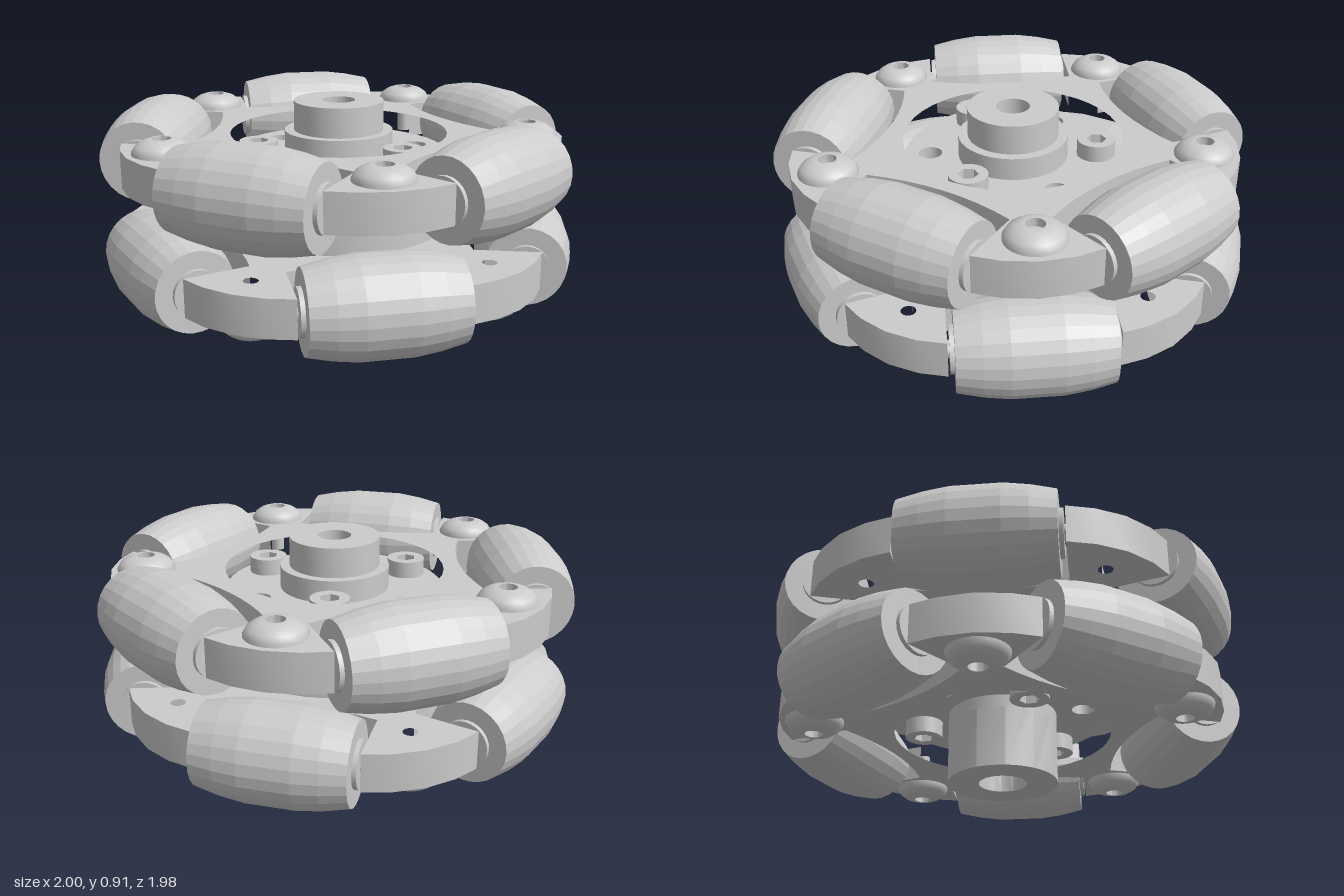
import * as THREE from 'three';
import { toCreasedNormals } from 'three/addons/utils/BufferGeometryUtils.js';

const STEP = Math.PI * 2 / 5;
const grey = new THREE.MeshStandardMaterial({ color: 0xcccccc });
const faceted = new THREE.MeshStandardMaterial({ color: 0xcccccc, flatShading: true });
const V = (x, y) => new THREE.Vector2(x, y);

function add(parent, name, geometry, material = grey) {
  const mesh = new THREE.Mesh(geometry, material);
  mesh.name = name;
  parent.add(mesh);
  return mesh;
}

const circle = (x, y, r) => new THREE.Path().absarc(x, y, r, 0, Math.PI * 2, true);

// Regular polygon hole (sockets)
function hexagon(r) {
  const pts = [];
  for (let i = 0; i < 6; i++) pts.push(V(r * Math.sin(i * Math.PI / 3), r * Math.cos(i * Math.PI / 3)));
  return new THREE.Path(pts);
}

// Upright prism of a plan drawn in x, z between two heights
function prism(shape, y0, y1, curveSegments = 20) {
  const g = new THREE.ExtrudeGeometry(shape, { depth: y1 - y0, bevelEnabled: false, curveSegments });
  return toCreasedNormals(g.rotateX(Math.PI / 2).translate(0, y1, 0), 0.6);
}

const lathe = (pts, n = 40) =>
  toCreasedNormals(new THREE.LatheGeometry(pts.map(p => V(...p)), n), 0.6);

// Five-armed plan with a pocket for each roller
function framePlan() {
  const pts = [];
  for (let k = 0; k < 5; k++) {
    const a = k * STEP, s = Math.sin(a), c = Math.cos(a);
    const put = (t, r) => pts.push(V(r * s + t * c, r * c - t * s));
    put(-0.325, 0.85);
    for (let i = -4; i <= 4; i++) put(0.325 * i / 4, 0.53 + 0.05 * (i / 4) ** 2);
    put(0.325, 0.85);
    for (const [d, r] of [[-0.14, 0.928], [0, 0.936], [0.14, 0.928]]) {
      const b = a + STEP / 2 + d;
      pts.push(V(r * Math.sin(b), r * Math.cos(b)));
    }
  }
  const shape = new THREE.Shape(pts);
  shape.holes.push(circle(0, 0, 0.46));
  for (let k = 0; k < 5; k++) {
    const a = (k + 0.5) * STEP;
    shape.holes.push(circle(0.79 * Math.sin(a), 0.79 * Math.cos(a), 0.03));
  }
  return shape;
}

// One ring of rollers in its frame, centred on the roller axes
function rollerLayer(name) {
  const layer = new THREE.Group();
  layer.name = name;
  add(layer, 'frame', prism(framePlan(), -0.075, 0.082));

  const barrel = new THREE.LatheGeometry([
    [0.03, -0.3], [0.165, -0.3], [0.187, -0.2], [0.2, -0.1],
    [0.2, 0.1], [0.187, 0.2], [0.165, 0.3], [0.03, 0.3],
  ].map(p => V(...p)), 26).rotateZ(Math.PI / 2);
  const washer = new THREE.CylinderGeometry(0.095, 0.095, 0.018, 24).rotateZ(Math.PI / 2);
  const axle = new THREE.CylinderGeometry(0.035, 0.035, 0.7, 16).rotateZ(Math.PI / 2);
  const screw = lathe([[0, -0.005], [0.12, -0.005], [0.12, 0.008], [0.105, 0.033], [0.08, 0.05],
    [0.05, 0.06], [0.037, 0.06], [0.037, 0.025], [0, 0.025]], 28);

  for (let k = 0; k < 5; k++) {
    const station = new THREE.Group();
    station.name = 'rollerStation';
    station.rotation.y = k * STEP;
    layer.add(station);
    add(station, 'roller', barrel, faceted).position.z = 0.79;
    add(station, 'axle', axle).position.z = 0.79;
    for (const side of [-1, 1]) add(station, 'washer', washer).position.set(side * 0.309, 0, 0.79);
    const a = STEP / 2;
    add(station, 'buttonScrew', screw).position.set(0.79 * Math.sin(a), 0.082, 0.79 * Math.cos(a));
  }
  return layer;
}

// Wall panel bent around the axle, with an optional set screw hole
function hubPanel(angle, withHole) {
  const R = 0.23, inner = 0.1, top = 0.25, w = Math.PI / 6, pts = [];
  for (let i = 0; i <= 4; i++) pts.push(V(R * w * (i / 4 - 0.5), 0));
  for (let i = 4; i >= 0; i--) pts.push(V(R * w * (i / 4 - 0.5), top));
  const shape = new THREE.Shape(pts);
  if (withHole) shape.holes.push(circle(0, 0.135, 0.037));
  const g = new THREE.ExtrudeGeometry(shape, { depth: R - inner, bevelEnabled: false, curveSegments: 10 });
  const p = g.attributes.position;
  for (let i = 0; i < p.count; i++) {
    const a = angle + p.getX(i) / R, r = inner + p.getZ(i);
    p.setXYZ(i, r * Math.sin(a), p.getY(i), r * Math.cos(a));
  }
  return toCreasedNormals(g, 0.6);
}

export function createModel() {
  const model = new THREE.Group();
  model.name = 'omniWheel';

  // Two roller rings, the lower one flipped and turned by half a step
  const upper = rollerLayer('upperLayer');
  upper.position.y = 0.693;
  const lower = rollerLayer('lowerLayer');
  lower.rotation.z = Math.PI;
  const turn = new THREE.Group();
  turn.name = 'lowerRing';
  turn.rotation.y = STEP / 2;
  turn.position.y = 0.3;
  turn.add(lower);
  model.add(upper, turn);

  // Core disc between the frames, with six bolt positions
  const core = new THREE.Shape().absarc(0, 0, 0.46, 0, Math.PI * 2, false);
  core.holes.push(circle(0, 0, 0.15));
  for (let i = 0; i < 6; i++) {
    const a = i * Math.PI / 3;
    core.holes.push(circle(0.35 * Math.sin(a), 0.35 * Math.cos(a), 0.05));
  }
  add(model, 'coreDisc', prism(core, 0.305, 0.69));

  // Clamping bolts with socket heads on both faces
  const ring = r => {
    const s = new THREE.Shape().absarc(0, 0, r, 0, Math.PI * 2, false);
    s.holes.push(hexagon(0.042));
    return s;
  };
  const head = prism(ring(0.08), 0, 0.07, 14);
  const shank = prism(ring(0.05), 0.305, 0.69, 14);
  for (let i = 0; i < 3; i++) {
    const bolt = new THREE.Group();
    const a = i * Math.PI * 2 / 3;
    bolt.name = 'clampBolt';
    bolt.position.set(0.35 * Math.sin(a), 0, 0.35 * Math.cos(a));
    model.add(bolt);
    add(bolt, 'boltShank', shank);
    add(bolt, 'boltHeadTop', head).position.y = 0.69;
    add(bolt, 'boltHeadBottom', head).position.y = 0.235;
  }

  // Stepped hub with a through bore
  add(model, 'hub', lathe([[0.07, 0.25], [0.23, 0.25], [0.23, 0.785], [0.19, 0.785],
    [0.19, 0.91], [0.07, 0.91], [0.07, 0.25]]));

  // Lower hub collar with set screw holes facing front and left
  const collar = new THREE.Group();
  collar.name = 'hubCollar';
  model.add(collar);
  for (let i = 0; i < 12; i++) add(collar, 'collarWall', hubPanel(i * Math.PI / 6, i === 0 || i === 3));

  return model;
}
